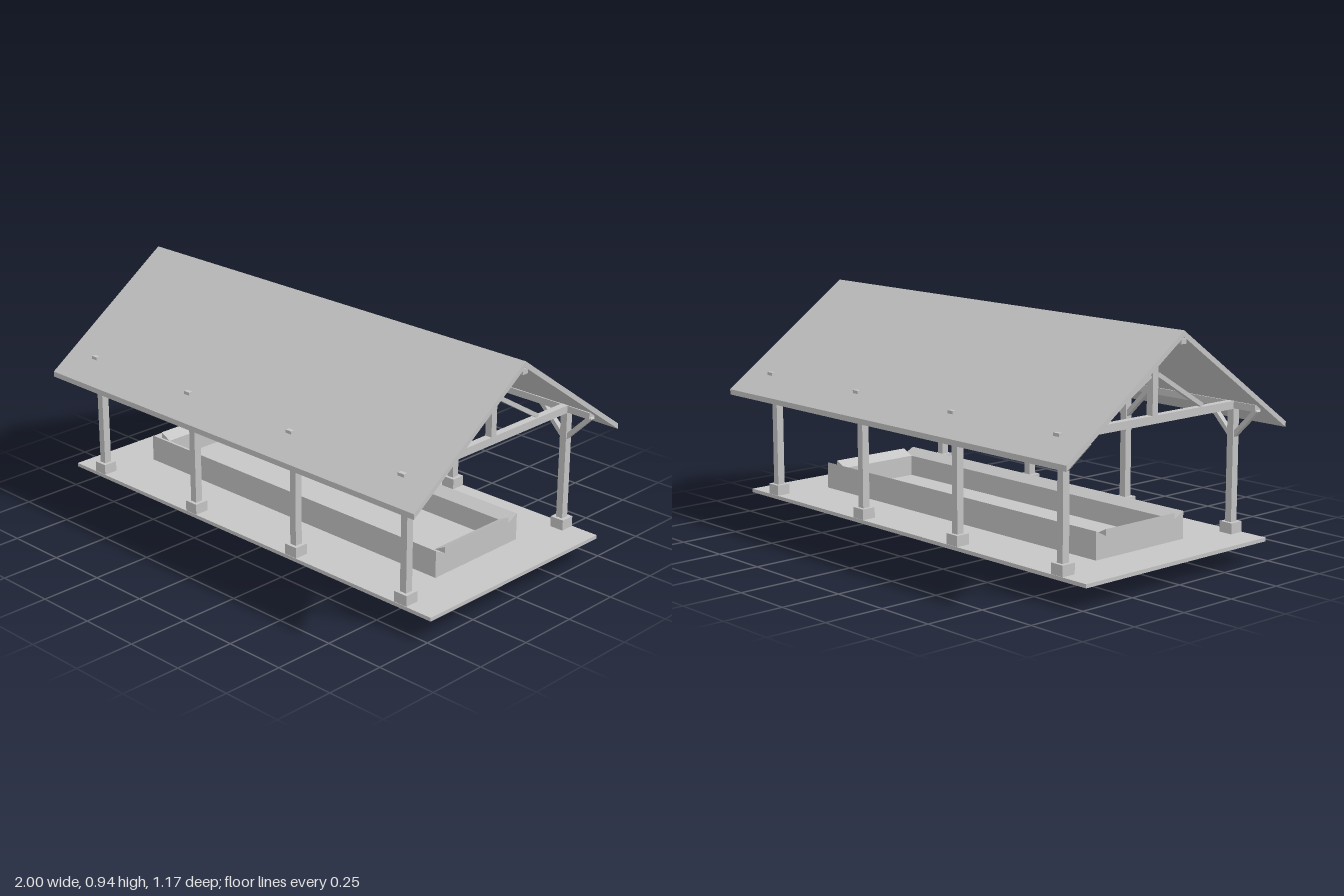
import * as THREE from 'three';

const grey = new THREE.MeshStandardMaterial({ color: 0xc6c6c6 });
grey.name = 'light grey';

export function createModel() {
  const model = new THREE.Group();
  model.name = 'openPavilion';

  const add = (name, geometry, parent = model) => {
    const mesh = new THREE.Mesh(geometry, grey);
    mesh.name = name;
    parent.add(mesh);
    return mesh;
  };
  // Box given by its extents on each axis
  const box = (name, [x0, x1], [y0, y1], [z0, z1], parent) => {
    const mesh = add(name, new THREE.BoxGeometry(x1 - x0, y1 - y0, z1 - z0), parent);
    mesh.position.set((x0 + x1) / 2, (y0 + y1) / 2, (z0 + z1) / 2);
    return mesh;
  };
  // Outline in (z, y), extruded along x and centred
  const prism = (name, points, length, parent) => {
    const shape = new THREE.Shape(points.map(([z, y]) => new THREE.Vector2(-z, y)));
    const geometry = new THREE.ExtrudeGeometry(shape, { depth: length, bevelEnabled: false });
    geometry.translate(0, 0, -length / 2).rotateY(Math.PI / 2);
    return add(name, geometry, parent);
  };

  // Ground slab and raised basin
  box('floorSlab', [-1, 1], [0.08, 0.095], [-0.485, 0.485]);
  box('basinFoot', [-0.75, 0.75], [0, 0.02], [-0.185, 0.185]);
  box('basinCore', [-0.75, 0.75], [0.02, 0.08], [-0.185, 0.185]);

  // Basin walls with tops sloping inward
  const wall = (outer) => [
    [outer, 0.02], [outer, 0.205], [outer - 0.05, 0.18], [outer - 0.05, 0.02],
  ];
  for (const side of [0, 1]) {
    const longWall = prism('basinLongWall', wall(0.235), 1.6);
    longWall.rotation.y = side * Math.PI;
    const endWall = prism('basinEndWall', wall(0.8), 0.37);
    endWall.rotation.y = Math.PI / 2 + side * Math.PI;
  }

  // Gable roof
  prism('roof', [
    [0.585, 0.513], [0.585, 0.535], [0, 0.945], [-0.585, 0.535], [-0.585, 0.513], [0, 0.921],
  ], 2);
  box('ridgeBeam', [-1, 1], [0.895, 0.915], [-0.014, 0.014]);
  for (const s of [-1, 1]) {
    const z = s * 0.453;
    box('eaveBeam', [-0.97, 0.97], [0.585, 0.612], [z - 0.016, z + 0.016]);
  }

  // Four timber frames
  for (const x of [-0.85, -0.283, 0.283, 0.85]) {
    const frame = new THREE.Group();
    frame.name = 'timberFrame';
    frame.position.x = x;
    model.add(frame);
    const w = [-0.015, 0.015];
    box('tieBeam', w, [0.583, 0.614], [-0.49, 0.49], frame);
    box('kingPost', w, [0.614, 0.92], [-0.014, 0.014], frame);

    for (const s of [-1, 1]) {
      const z = s * 0.453;
      box('postFoot', [-0.03, 0.03], [0.095, 0.138], [z - 0.03, z + 0.03], frame);
      box('post', w, [0.138, 0.585], [z - 0.016, z + 0.016], frame);

      // Diagonal strut from king post to tie beam
      const strut = add('strut', new THREE.BoxGeometry(0.022, 0.017, 0.285), frame);
      strut.position.set(0, 0.692, s * 0.142);
      strut.rotation.x = s * Math.atan2(0.147, 0.247);

      // Knee braces along the eave beam
      for (const t of [-1, 1]) {
        const brace = add('kneeBrace', new THREE.BoxGeometry(0.018, 0.165, 0.022), frame);
        brace.position.set(t * 0.062, 0.533, z);
        brace.rotation.z = -t * Math.PI / 4;
      }
    }
  }
  return model;
}
